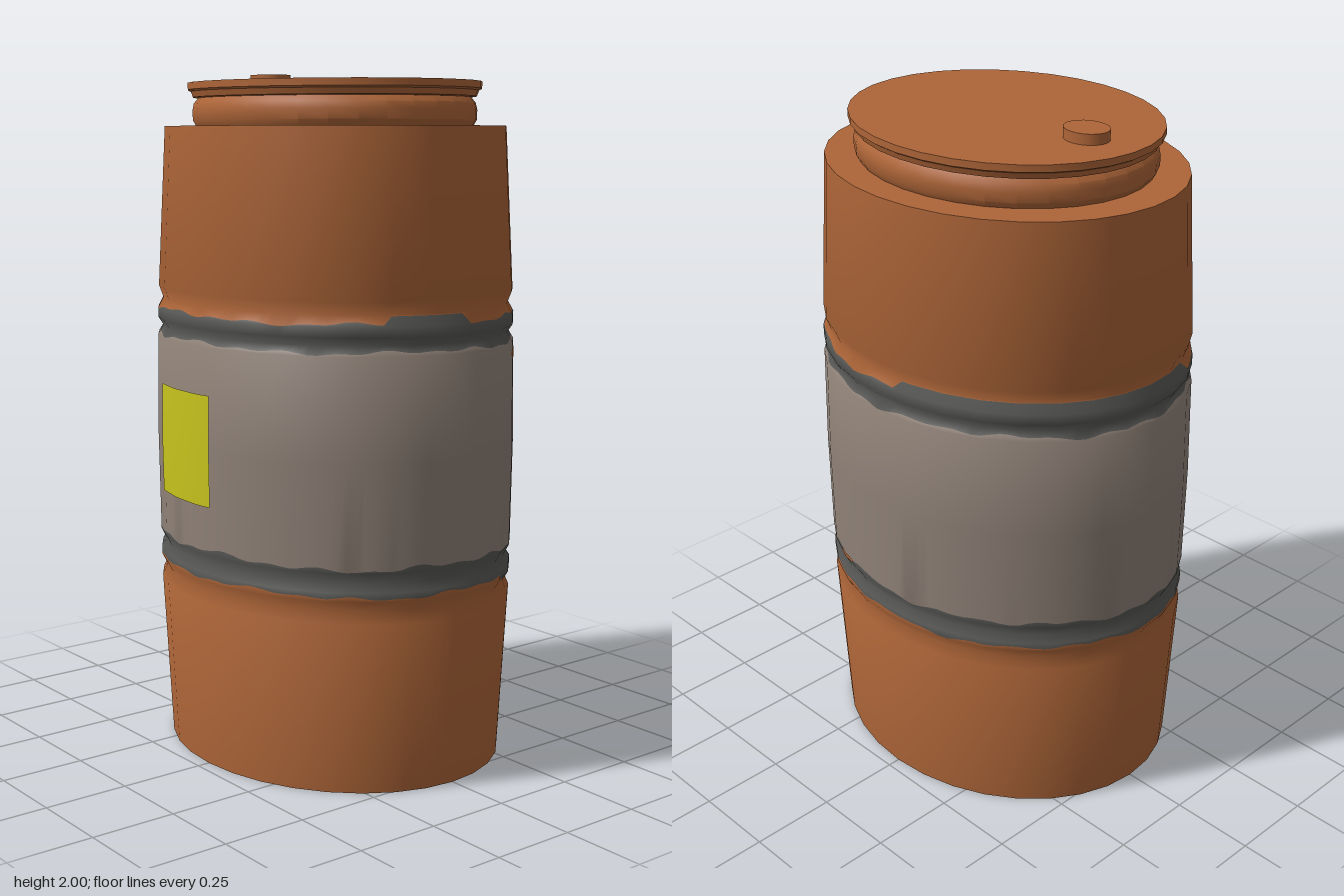
import * as THREE from 'three';
import { toCreasedNormals } from 'three/addons/utils/BufferGeometryUtils.js';

const SEG = 32, SUB = 4, DEPTH = 1.19; // oval: z radius = x radius * DEPTH

// Barrel wall: [radius, height]
const WALL = [[0.463, 0], [0.488, 0.495], [0.474, 0.53], [0.489, 0.56], [0.489, 0.585], [0.475, 0.608],
  [0.49, 0.64], [0.494, 0.94], [0.49, 1.235], [0.475, 1.262], [0.489, 1.285], [0.489, 1.315],
  [0.474, 1.345], [0.486, 1.38], [0.463, 1.845]];

function radiusAt(y) {
  let i = 1;
  while (i < WALL.length - 1 && WALL[i][1] < y) i++;
  const [r0, y0] = WALL[i - 1], [r1, y1] = WALL[i];
  return r0 + (r1 - r0) * (y - y0) / (y1 - y0);
}

// Deterministic ragged value in -1..1 around the barrel
function ragged(a, seed) {
  return (Math.sin(a * 5 + seed) + Math.sin(a * 11 + seed * 2.3) + Math.sin(a * 23 + seed * 4.1)) / 3;
}

// Strip of the wall between two edges that may vary with the angle (0 = front, 90 = +x)
function wallStrip(low, high, from = 0, to = 360, offset = 0, step = 360 / (SEG * SUB)) {
  const pos = [], nor = [], idx = [];
  const cols = Math.ceil((to - from) / step);
  const sector = Math.PI * 2 / SEG;
  const levels = [-1, ...WALL.map((p) => p[1]), 3];
  for (let c = 0; c <= cols; c++) {
    const a = THREE.MathUtils.degToRad(from + (to - from) * c / cols);
    const k = Math.floor(a / sector + 1e-6), f = a / sector - k;
    const sx = THREE.MathUtils.lerp(Math.sin(k * sector), Math.sin((k + 1) * sector), f);
    const cz = THREE.MathUtils.lerp(Math.cos(k * sector), Math.cos((k + 1) * sector), f);
    const lo = low(a), hi = high(a);
    for (const level of levels) {
      const y = THREE.MathUtils.clamp(level, lo, hi);
      const r = radiusAt(y) + offset;
      const slope = (radiusAt(y + 0.006) - radiusAt(y - 0.006)) / 0.012;
      const n = new THREE.Vector3(Math.sin(a), -slope, Math.cos(a) / DEPTH).normalize();
      pos.push(sx * r, y, cz * r * DEPTH);
      nor.push(n.x, n.y, n.z);
    }
  }
  const rows = levels.length;
  for (let c = 0; c < cols; c++) {
    for (let j = 0; j < rows - 1; j++) {
      const p = c * rows + j, q = p + rows;
      idx.push(p, q, q + 1, p, q + 1, p + 1);
    }
  }
  const g = new THREE.BufferGeometry();
  g.setAttribute('position', new THREE.Float32BufferAttribute(pos, 3));
  g.setAttribute('normal', new THREE.Float32BufferAttribute(nor, 3));
  g.setIndex(idx);
  return g;
}

function lathe(points) {
  const g = new THREE.LatheGeometry(points.map(([r, y]) => new THREE.Vector2(r, y)), SEG);
  return toCreasedNormals(g.scale(1, 1, DEPTH), 0.5);
}

export function createModel() {
  const group = new THREE.Group();
  const material = (name, color) => {
    const m = new THREE.MeshStandardMaterial({ color });
    m.name = name;
    return m;
  };
  const rust = material('rust orange', 0xad6538);
  const grey = material('warm grey', 0x8f8177);
  const dark = material('dark grey', 0x585856);
  const yellow = material('label yellow', 0xc8c41e);
  const add = (name, geometry, mat) => {
    const mesh = new THREE.Mesh(geometry, mat);
    mesh.name = name;
    group.add(mesh);
    return mesh;
  };

  // Worn paint edges
  const flat = (y) => () => y;
  const lowerRust = (a) => {
    const d = THREE.MathUtils.radToDeg(a);
    return (d > 23 && d < 40 ? 0.547 : 0.57) + 0.009 * ragged(a, 1);
  };
  const lowerGrey = (a) => 0.65 + 0.012 * ragged(a, 2);
  const upperGrey = (a) => 1.243 + 0.009 * ragged(a, 3);
  const upperRust = (a) => {
    const d = THREE.MathUtils.radToDeg(a) % 360;
    const whole = (d > 98 && d < 200) || d > 333 || d < 2;
    return whole ? 1.342 : 1.32 + 0.009 * ragged(a, 4);
  };

  // Barrel wall, bottom to top
  add('lowerWall', wallStrip(flat(0), lowerRust), rust);
  add('lowerBand', wallStrip(lowerRust, lowerGrey), dark);
  add('middleWall', wallStrip(lowerGrey, upperGrey), grey);
  add('upperBand', wallStrip(upperGrey, upperRust), dark);
  add('upperWall', wallStrip(upperRust, flat(1.845)), rust);

  // Base
  const base = new THREE.CircleGeometry(0.463, SEG).rotateX(Math.PI / 2).scale(1, 1, DEPTH);
  add('base', base, rust);

  // Shoulder, neck and lid
  add('shoulder', lathe([[0.463, 1.845], [0.37, 1.845]]), rust);
  add('neck', lathe([[0.376, 1.845], [0.385, 1.862], [0.386, 1.89], [0.382, 1.91], [0.37, 1.926]]), rust);
  add('lid', lathe([[0.365, 1.926], [0.384, 1.928], [0.39, 1.945], [0.398, 1.95], [0.398, 1.97], [0, 1.97]]), rust);

  // Filler cap towards the back
  const cap = add('fillerCap', new THREE.CylinderGeometry(0.057, 0.057, 0.032, 24), rust);
  cap.scale.z = DEPTH;
  cap.position.set(0, 1.984, -0.307);

  // Paint chips
  const chip = (name, y, height, from, to, seed) => {
    const mid = THREE.MathUtils.degToRad((from + to) / 2);
    const half = THREE.MathUtils.degToRad((to - from) / 2);
    const swell = (a) => Math.sqrt(Math.max(0, 1 - ((a - mid) / half) ** 2));
    add(name, wallStrip(
      (a) => y - height / 2 * swell(a) * (1 + 0.3 * ragged(a * 3, seed)),
      (a) => y + height / 2 * swell(a) * (1 + 0.3 * ragged(a * 3, seed + 2)), from, to, 0.002, 1), rust);
  };
  chip('upperChip', 1.205, 0.036, 31, 42, 1);
  chip('lowerChip', 0.65, 0.014, 63, 73, 2);

  // Warning label on the right side
  add('label', wallStrip(flat(0.78), flat(1.1), 247, 276, 0.004), yellow);

  return group;
}
